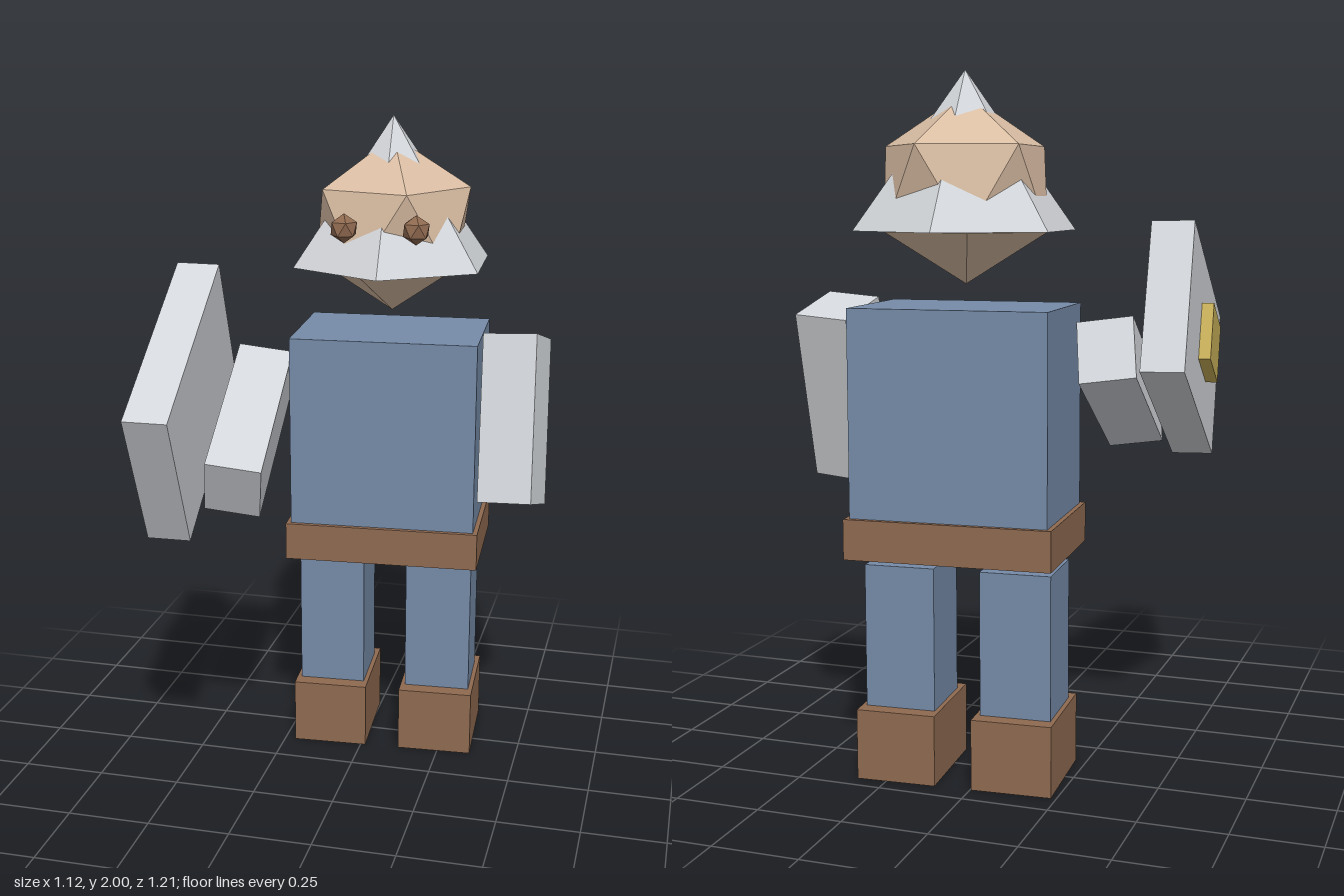
import * as THREE from 'three';

const material = (name, color) => {
  const m = new THREE.MeshStandardMaterial({ color, flatShading: true });
  m.name = name;
  return m;
};

export function createModel() {
  const blue = material('blue cloth', 0x768ba8);
  const steel = material('pale steel', 0xd2d5d9);
  const leather = material('brown leather', 0x8f6a50);
  const skin = material('tan skin', 0xd9bda3);
  const gold = material('gold', 0xc6ae58);

  const model = new THREE.Group();
  model.name = 'figure';

  // Everything on the centre line shares one slightly turned frame
  const body = new THREE.Group();
  body.name = 'body';
  body.position.set(0.06, 0, -0.283);
  body.rotation.y = 0.06;
  model.add(body);

  const add = (parent, name, geometry, mat, x, y, z) => {
    const mesh = new THREE.Mesh(geometry, mat);
    mesh.name = name;
    mesh.position.set(x, y, z);
    parent.add(mesh);
    return mesh;
  };

  // Upright box between two heights
  const block = (name, mat, w, d, y0, y1, x = 0) =>
    add(body, name, new THREE.BoxGeometry(w, y1 - y0, d), mat, x, (y0 + y1) / 2, 0);

  // Box whose width and length follow the given directions
  const tilted = (name, mat, size, centre, across, along) => {
    const yAxis = new THREE.Vector3(...along).normalize();
    const zAxis = new THREE.Vector3(...across).cross(yAxis).normalize();
    const xAxis = new THREE.Vector3().crossVectors(yAxis, zAxis);
    const mesh = add(model, name, new THREE.BoxGeometry(...size), mat, ...centre);
    mesh.quaternion.setFromRotationMatrix(new THREE.Matrix4().makeBasis(xAxis, yAxis, zAxis));
    return mesh;
  };

  // Twenty-sided ball standing on a corner
  const ball = (r) => new THREE.IcosahedronGeometry(r, 0).rotateZ(-Math.atan(2 / (1 + Math.sqrt(5))));

  // Torso and belt
  block('torso', blue, 0.567, 0.386, 0.77, 1.355);
  block('belt', leather, 0.595, 0.415, 0.655, 0.77);

  // Legs, boots and eyes in pairs
  for (const [side, s] of [['left', 1], ['right', -1]]) {
    block(side + 'Leg', blue, 0.205, 0.215, 0.205, 0.62, s * 0.17);
    block(side + 'Boot', leather, 0.232, 0.307, 0, 0.205, s * 0.17);
    add(body, side + 'Eye', ball(0.043), leather, s * 0.105, 1.7, 0.25);
  }

  // Head, with the six-sided pointed helmet passing through it
  add(body, 'head', ball(0.262), skin, 0, 1.677, 0);
  add(body, 'helmet', new THREE.ConeGeometry(0.318, 0.437, 6), steel, 0, 1.7815, 0);

  // Lowered left arm, raised right arm
  tilted('leftArm', steel, [0.165, 0.508, 0.19], [0.455, 1.105, -0.227],
    [0.165, 0.01, 0.018], [-0.017, 0.485, -0.153]);
  const raised = [-0.03, 0.25, -0.455];
  tilted('rightArm', steel, [0.163, 0.51, 0.19], [-0.298, 1.108, 0.06],
    [0.16, -0.022, -0.02], raised);

  // Shield on the right arm with its square boss
  const shieldAcross = [0.125, -0.003, -0.009];
  tilted('shield', steel, [0.125, 0.667, 0.468], [-0.452, 1.223, 0.197], shieldAcross, raised);
  tilted('shieldBoss', gold, [0.045, 0.18, 0.18], [-0.527, 1.223, 0.202], shieldAcross, raised);

  return model;
}
